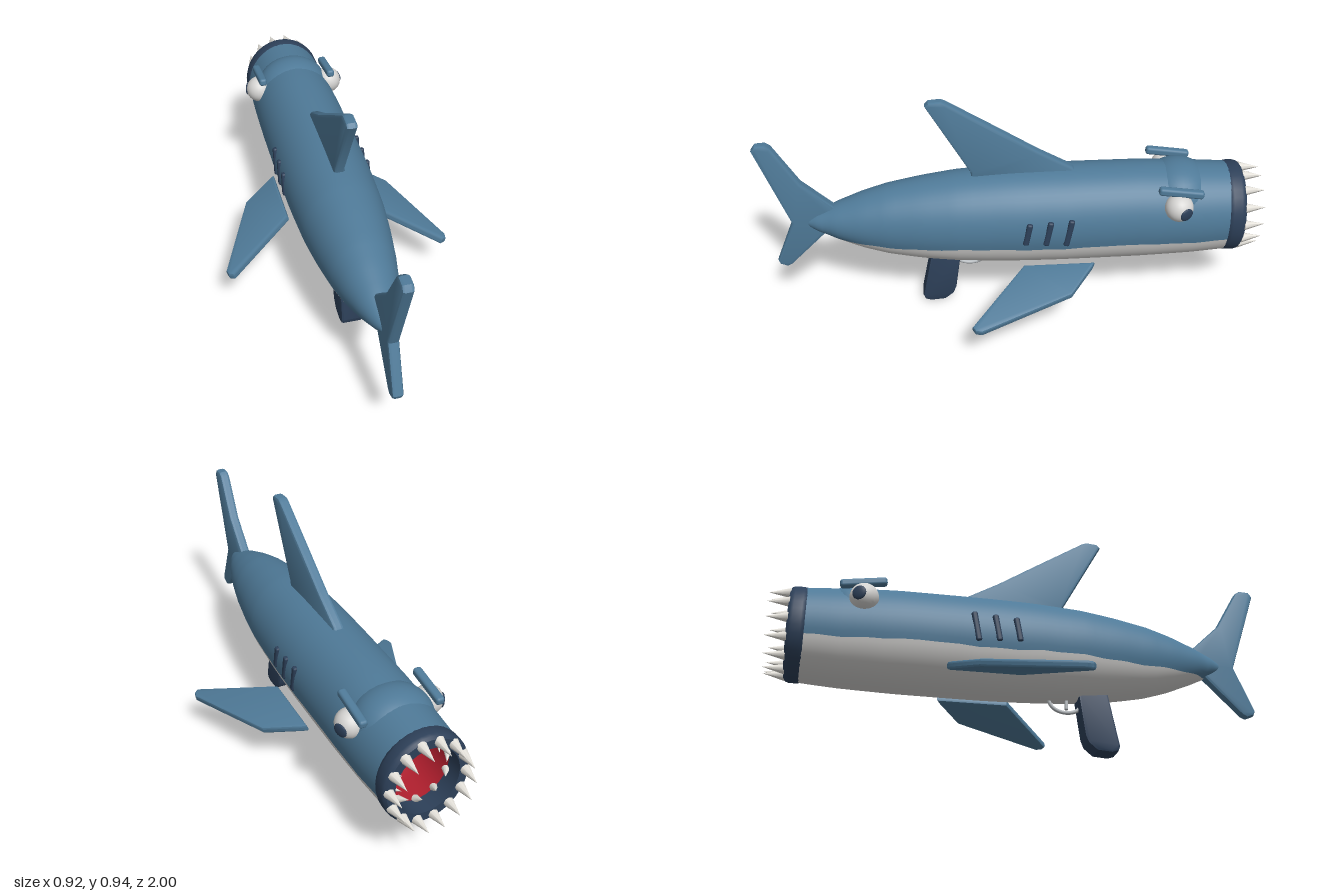
import * as THREE from 'three';
import { toCreasedNormals } from 'three/addons/utils/BufferGeometryUtils.js';
import { RoundedBoxGeometry } from 'three/addons/geometries/RoundedBoxGeometry.js';

const mat = (name, color, side = THREE.FrontSide) => {
  const m = new THREE.MeshStandardMaterial({ color, side });
  m.name = name;
  return m;
};

export function createModel() {
  const root = new THREE.Group();
  root.name = 'sharkBlaster';
  const blue = mat('steel blue', 0x4f7a98);
  const white = mat('belly white', 0xd6d5d3);
  const navy = mat('dark navy', 0x2d4059);
  const red = mat('mouth red', 0xb01e2d, THREE.DoubleSide);
  const ivory = mat('tooth ivory', 0xe6e3dc);
  const metal = mat('light metal', 0xb4b9bd);

  const add = (name, geo, material, x = 0, y = 0, z = 0, parent = root) => {
    const m = new THREE.Mesh(geo, material);
    m.name = name;
    m.position.set(x, y, z);
    parent.add(m);
    return m;
  };

  // Bevelled plate from an outline, thickness centred on local z
  const plate = (pts, thick, bevel) => {
    const g = new THREE.ExtrudeGeometry(new THREE.Shape(pts.map(p => new THREE.Vector2(...p))), {
      depth: thick - 2 * bevel, bevelEnabled: true, bevelThickness: bevel,
      bevelSize: bevel, bevelOffset: -bevel, bevelSegments: 2,
    });
    g.translate(0, 0, -(thick - 2 * bevel) / 2);
    return toCreasedNormals(g, 0.6);
  };
  // Outline given as [z, y], standing on the centre plane
  const sidePlate = (pts, thick, bevel) => plate(pts, thick, bevel).rotateY(-Math.PI / 2);

  // Body stations: z, centre y, half width, half height
  const stations = [
    [-0.89, 0.415, 0.163, 0.186], [-0.72, 0.415, 0.173, 0.198], [-0.5, 0.417, 0.179, 0.207],
    [-0.2, 0.416, 0.18, 0.208], [0, 0.416, 0.178, 0.205], [0.22, 0.415, 0.168, 0.193],
    [0.36, 0.413, 0.152, 0.175], [0.5, 0.412, 0.13, 0.149], [0.6, 0.412, 0.108, 0.118],
    [0.7, 0.413, 0.078, 0.078], [0.78, 0.413, 0.045, 0.042], [0.835, 0.413, 0.012, 0.012],
  ];
  const body = new THREE.CatmullRomCurve3(stations.map(s => new THREE.Vector3(s[1], s[2], s[3])));
  const zAt = t => {
    const f = t * (stations.length - 1), i = Math.min(Math.floor(f), stations.length - 2);
    return THREE.MathUtils.lerp(stations[i][0], stations[i + 1][0], f - i);
  };
  // One arc of the body: the back lies above the waterline, the belly below it
  const bodyArc = isBack => {
    const rows = 44, cols = 32, pos = [], idx = [];
    for (let i = 0; i <= rows; i++) {
      const t = i / rows, z = zAt(t), s = body.getPoint(t);
      const line = 0.352 + 0.004 * Math.sin(z * 11) + 0.002 * Math.sin(z * 37);
      const a = Math.asin(THREE.MathUtils.clamp((line - s.x) / s.z, -1, 1));
      const from = isBack ? a : Math.PI - a, to = isBack ? Math.PI - a : 2 * Math.PI + a;
      for (let j = 0; j <= cols; j++) {
        const q = THREE.MathUtils.lerp(from, to, j / cols);
        pos.push(s.y * Math.cos(q), s.x + s.z * Math.sin(q), z);
        if (i < rows && j < cols) {
          const k = i * (cols + 1) + j, n = k + cols + 1;
          idx.push(k, k + 1, n, k + 1, n + 1, n);
        }
      }
    }
    const g = new THREE.BufferGeometry();
    g.setAttribute('position', new THREE.Float32BufferAttribute(pos, 3));
    g.setIndex(idx);
    g.computeVertexNormals();
    return g;
  };
  add('back', bodyArc(true), blue);
  add('belly', bodyArc(false), white);
  add('tailTip', new THREE.SphereGeometry(0.012, 12, 8), blue, 0, 0.413, 0.834);

  // Rounded crown of the head
  const crown = add('crown', new THREE.SphereGeometry(1, 32, 20), blue, 0, 0.5, -0.665);
  crown.scale.set(0.155, 0.13, 0.145);

  // Lip ring and throat, oval about the body axis
  const oval = (pts, material, name) => {
    const g = new THREE.LatheGeometry(pts.map(p => new THREE.Vector2(...p)), 36);
    g.rotateX(Math.PI / 2);
    g.scale(0.17, 0.19, 1);
    return add(name, toCreasedNormals(g, 0.7), material, 0, 0.415, 0);
  };
  oval([[0.74, -0.92], [0.93, -0.92], [0.98, -0.912], [1, -0.9], [1, -0.868], [0.98, -0.855],
    [0.94, -0.85], [0.74, -0.85], [0.74, -0.92]], navy, 'lipRing');
  oval([[0.78, -0.9], [0.76, -0.75], [0.66, -0.58], [0.4, -0.5], [0, -0.48]], red, 'throat');

  // Two rows of teeth
  const teeth = new THREE.Group();
  teeth.name = 'teeth';
  root.add(teeth);
  const toothRow = (count, r, z, radius, len, lean, shift) => {
    const g = new THREE.ConeGeometry(radius, len, 8).translate(0, len / 2, 0).rotateX(-Math.PI / 2);
    for (let i = 0; i < count; i++) {
      const a = ((i + shift) / count) * Math.PI * 2;
      const x = 0.17 * r * Math.cos(a), y = 0.415 + 0.19 * r * Math.sin(a);
      const t = add('tooth', g, ivory, x, y, z, teeth);
      t.lookAt(x + Math.cos(a) * lean, y + Math.sin(a) * lean, z + 1);
    }
  };
  toothRow(14, 0.87, -0.915, 0.021, 0.085, 0.05, 0);
  toothRow(10, 0.72, -0.85, 0.015, 0.055, 0.7, 0.5);

  // Dorsal and tail fins
  add('dorsalFin', sidePlate([[-0.25, 0.615], [0.16, 0.585], [0.165, 0.625], [0.332, 0.925],
    [0.318, 0.94], [0.27, 0.944], [0.25, 0.935], [0.04, 0.802], [-0.1, 0.712], [-0.235, 0.635]],
    0.044, 0.012), blue);
  add('tailFin', sidePlate([[0.7, 0.42], [0.76, 0.355], [0.905, 0.21], [0.925, 0.2], [0.955, 0.212],
    [0.962, 0.23], [0.885, 0.415], [1, 0.755], [0.985, 0.776], [0.945, 0.779], [0.925, 0.765],
    [0.83, 0.6], [0.71, 0.485]], 0.044, 0.012), blue);

  // Grip, trigger and trigger guard
  add('grip', sidePlate([[0.215, 0.24], [0.238, 0.07], [0.25, 0.04], [0.285, 0.01], [0.345, 0.005],
    [0.37, 0.013], [0.378, 0.035], [0.335, 0.25]], 0.09, 0.01), navy);
  const guardPath = new THREE.CatmullRomCurve3([[0.24, 0.205], [0.21, 0.178], [0.16, 0.172],
    [0.12, 0.19], [0.1, 0.225]].map(([z, y]) => new THREE.Vector3(0, y, z)));
  add('triggerGuard', new THREE.TubeGeometry(guardPath, 20, 0.008, 8), metal);
  add('trigger', new RoundedBoxGeometry(0.016, 0.045, 0.014, 2, 0.005), metal, 0, 0.205, 0.175);

  // Paired parts
  const pectoral = plate([[0.165, 0.32], [0.185, 0.31], [0.315, 0.215], [0.47, -0.145],
    [0.465, -0.17], [0.445, -0.182], [0.165, 0.035]], 0.032, 0.01).rotateX(-Math.PI / 2);
  for (const s of [1, -1]) {
    const name = s > 0 ? 'left' : 'right';

    const fin = add(name + 'PectoralFin', pectoral, blue, s * 0.165, 0.262, 0);
    fin.rotation.z = s > 0 ? -0.275 : Math.PI + 0.275;
    fin.geometry = pectoral.clone().translate(-0.165, 0, 0);

    // Eye with a pupil looking outward and forward
    add(name + 'Eye', new THREE.SphereGeometry(0.056, 24, 16), white, s * 0.157, 0.52, -0.643);
    const dir = new THREE.Vector3(s * 0.9, -0.08, -0.4).normalize();
    const pupil = add(name + 'Pupil', new THREE.SphereGeometry(0.028, 16, 10), navy,
      s * 0.157 + dir.x * 0.051, 0.52 + dir.y * 0.051, -0.643 + dir.z * 0.051);
    pupil.scale.z = 0.3;
    pupil.lookAt(pupil.position.clone().add(dir));

    const brow = add(name + 'Brow', new RoundedBoxGeometry(0.033, 0.032, 0.18, 3, 0.011), blue,
      s * 0.151, 0.585, -0.648);
    brow.rotation.x = -0.15;

    // Gill slits, longer toward the head
    for (let i = 0; i < 3; i++) {
      const gill = add(name + 'Gill', new RoundedBoxGeometry(0.02, 0.1 + i * 0.011, 0.024, 2, 0.008),
        navy, s * 0.175, 0.43, -0.05 - i * 0.081);
      gill.rotation.x = -0.18;
    }
  }
  return root;
}
